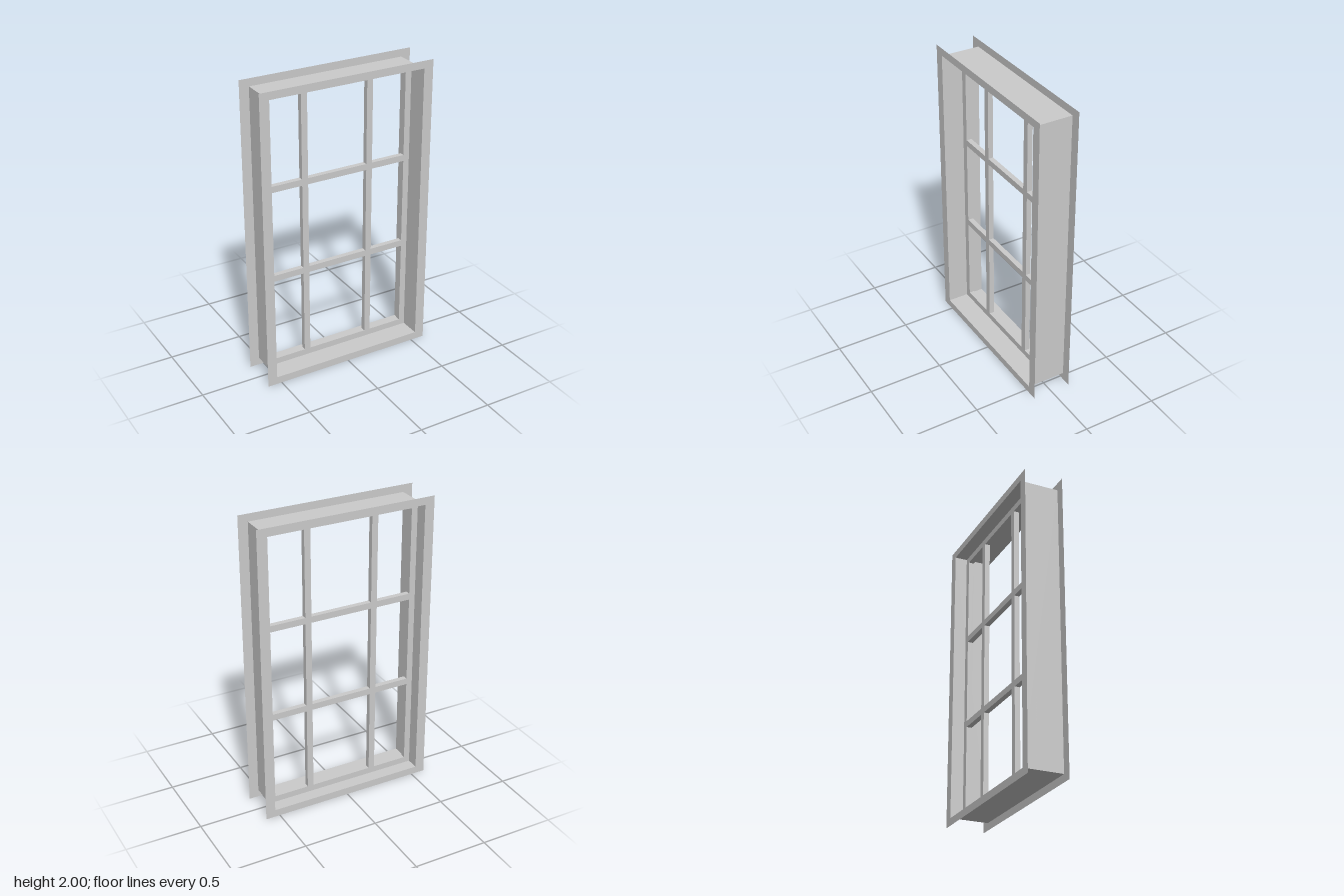
import * as THREE from 'three';

const W = 1.064, H = 1.9;         // opening lined by the jamb
const TRIM_W = 1.194, TRIM_H = 2; // outer size of the flat trim
const DEPTH = 0.26;
const BAR = 0.042;                // face width of sash and glazing bars
const SASH_T = 0.035, SASH_Z = -0.0275;
const MID = 1;

const solid = new THREE.MeshStandardMaterial({ color: 0xcccccc, flatShading: true });
const sheet = new THREE.MeshStandardMaterial({ color: 0xcccccc, flatShading: true, side: THREE.DoubleSide });

function add(parent, name, geometry, material, x = 0, y = 0, z = 0) {
  const mesh = new THREE.Mesh(geometry, material);
  mesh.name = name;
  mesh.position.set(x, y, z);
  parent.add(mesh);
  return mesh;
}

function rectangle(PathType, w, h) {
  return new PathType([[-1, -1], [1, -1], [1, 1], [-1, 1]]
    .map(([x, y]) => new THREE.Vector2(x * w / 2, y * h / 2)));
}

// Rectangular ring shape
function ring(w, h, innerW, innerH) {
  const shape = rectangle(THREE.Shape, w, h);
  shape.holes.push(rectangle(THREE.Path, innerW, innerH));
  return shape;
}

export function createModel() {
  const model = new THREE.Group();
  model.name = 'window';

  // Flat trim on both faces of the wall
  const trim = new THREE.ShapeGeometry(ring(TRIM_W, TRIM_H, W, H));
  add(model, 'frontTrim', trim, sheet, 0, MID, DEPTH / 2);
  add(model, 'backTrim', trim, sheet, 0, MID, -DEPTH / 2).rotation.y = Math.PI;

  // Thin jamb lining between the trims
  const jamb = new THREE.Group();
  jamb.name = 'jamb';
  model.add(jamb);
  for (const s of [-1, 1]) {
    add(jamb, s > 0 ? 'leftJamb' : 'rightJamb', new THREE.PlaneGeometry(DEPTH, H), sheet,
      s * W / 2, MID).rotation.y = s * Math.PI / 2;
    add(jamb, s > 0 ? 'headJamb' : 'sill', new THREE.PlaneGeometry(W, DEPTH), sheet,
      0, MID + s * H / 2).rotation.x = -s * Math.PI / 2;
  }

  // Sash frame
  const innerW = W - 2 * BAR, innerH = H - 2 * BAR;
  const sash = new THREE.Group();
  sash.name = 'sash';
  sash.position.set(0, MID, SASH_Z);
  model.add(sash);
  add(sash, 'sashFrame', new THREE.ExtrudeGeometry(ring(W, H, innerW, innerH),
    { depth: SASH_T, bevelEnabled: false }), solid, 0, 0, -SASH_T / 2);

  // Upright glazing bars
  const barX = 0.231, barY = 0.31;
  for (const s of [-1, 1]) {
    add(sash, 'uprightBar', new THREE.BoxGeometry(BAR, innerH, SASH_T), solid, s * barX);
  }

  // Cross bars, cut to fit between the uprights
  const sideLength = innerW / 2 - barX - BAR / 2;
  const sideX = innerW / 2 - sideLength / 2;
  const spans = [[-sideX, sideLength], [0, 2 * barX - BAR], [sideX, sideLength]];
  for (const s of [-1, 1]) {
    for (const [x, length] of spans) {
      add(sash, 'crossBar', new THREE.BoxGeometry(length, BAR, SASH_T), solid, x, s * barY);
    }
  }
  return model;
}
